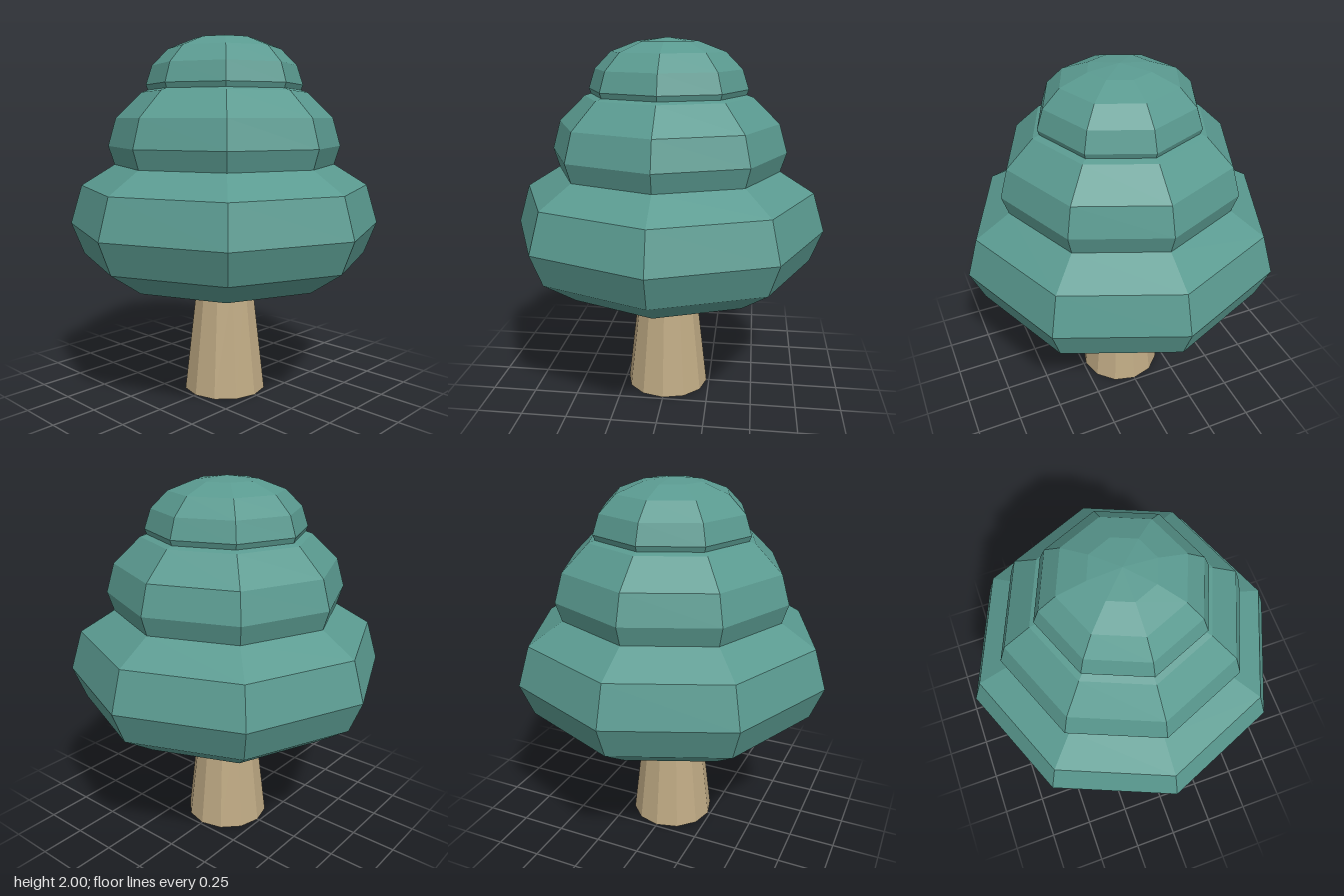
import * as THREE from 'three';

const leafMaterial = new THREE.MeshStandardMaterial({ color: 0x5a9a90, flatShading: true });
const barkMaterial = new THREE.MeshStandardMaterial({ color: 0xbfaa84, flatShading: true });

// Eight-sided foliage tier from [radius, height] rings, listed bottom to top
function foliageTier(name, rings) {
  const profile = rings.map(([r, y]) => new THREE.Vector2(r, y));
  const tier = new THREE.Mesh(new THREE.LatheGeometry(profile, 8), leafMaterial);
  tier.name = name;
  return tier;
}

export function createModel() {
  const tree = new THREE.Group();
  tree.name = 'tree';

  // Tapered trunk, its top hidden in the foliage
  const trunk = new THREE.Mesh(new THREE.CylinderGeometry(0.16, 0.235, 0.64, 12), barkMaterial);
  trunk.position.y = 0.32;
  trunk.name = 'trunk';
  tree.add(trunk);

  // Three stacked, squashed domes
  tree.add(
    foliageTier('lowerFoliage', [
      [0, 0.565], [0.33, 0.58], [0.615, 0.66], [0.8, 0.785], [0.87, 0.96],
      [0.805, 1.175], [0.615, 1.293], [0.33, 1.37], [0, 1.4],
    ]),
    foliageTier('middleFoliage', [
      [0, 1.12], [0.25, 1.13], [0.46, 1.19], [0.615, 1.285], [0.65, 1.395],
      [0.605, 1.55], [0.46, 1.69], [0.25, 1.76], [0, 1.79],
    ]),
    foliageTier('upperFoliage', [
      [0, 1.55], [0.165, 1.56], [0.31, 1.59], [0.405, 1.65], [0.435, 1.73],
      [0.4, 1.835], [0.31, 1.925], [0.165, 1.98], [0, 2],
    ]),
  );
  return tree;
}
